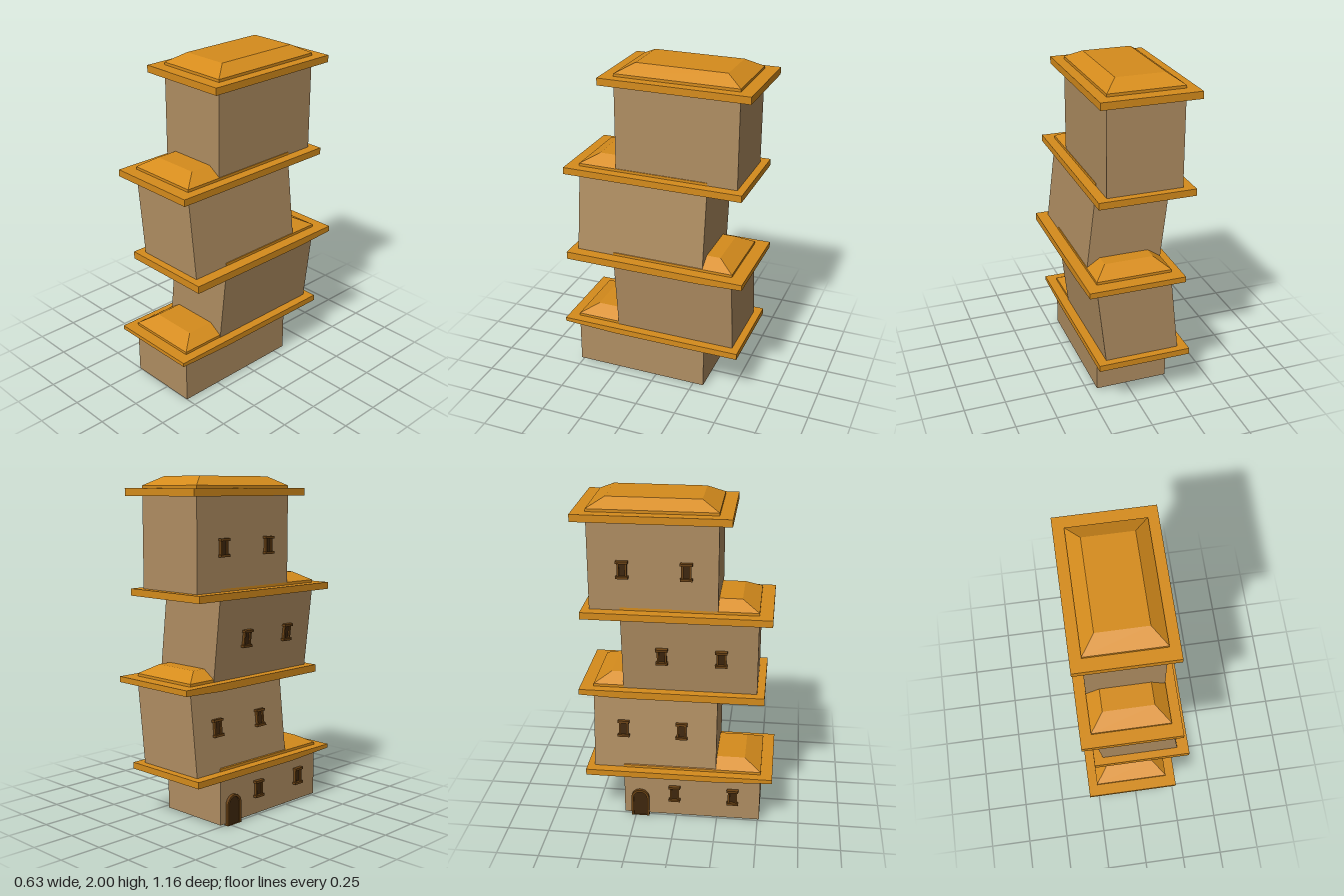
import * as THREE from 'three';

const mat = (color) => new THREE.MeshStandardMaterial({ color, flatShading: true });
const wallMat = mat(0xb08e62);
const roofMat = mat(0xd68c1c);
const frameMat = mat(0x6a4214);
const darkMat = mat(0x3f270d);

function add(parent, name, geometry, material, x = 0, y = 0, z = 0) {
  const mesh = new THREE.Mesh(geometry, material);
  mesh.name = name;
  mesh.position.set(x, y, z);
  parent.add(mesh);
  return mesh;
}

// Box whose bottom and top rectangles [x0, x1, z0, z1] may differ
function taperedBox(bottom, y0, top, y1) {
  const g = new THREE.BoxGeometry(1, 1, 1);
  const p = g.attributes.position;
  for (let i = 0; i < p.count; i++) {
    const up = p.getY(i) > 0;
    const r = up ? top : bottom;
    p.setXYZ(i, p.getX(i) > 0 ? r[1] : r[0], up ? y1 : y0, p.getZ(i) > 0 ? r[3] : r[2]);
  }
  g.computeVertexNormals();
  return g;
}

// Shape drawn in (z, y), extruded along x from x0 to x1
function extrudeX(shape, x0, x1, curveSegments = 8) {
  const g = new THREE.ExtrudeGeometry(shape, { depth: x1 - x0, bevelEnabled: false, curveSegments });
  return g.rotateY(-Math.PI / 2).translate(x1, 0, 0);
}

// Arched outline standing on y = 0
function archShape(halfWidth, height, Type = THREE.Shape) {
  const s = new Type();
  s.moveTo(-halfWidth, 0);
  s.lineTo(halfWidth, 0);
  s.lineTo(halfWidth, height - halfWidth);
  s.absarc(0, height - halfWidth, halfWidth, 0, Math.PI, false);
  s.lineTo(-halfWidth, 0);
  return s;
}

// Small framed window, projecting towards -x
function makeWindow() {
  const w = new THREE.Group();
  w.name = 'window';
  add(w, 'pane', new THREE.BoxGeometry(0.02, 0.09, 0.04), darkMat, 0.002);
  for (const s of [-1, 1]) {
    add(w, 'jamb', new THREE.BoxGeometry(0.03, 0.08, 0.012), frameMat, -0.002, 0, s * 0.022);
    add(w, s > 0 ? 'lintel' : 'sill', new THREE.BoxGeometry(0.04, 0.014, 0.07), frameMat, -0.005, s * 0.044, 0);
  }
  return w;
}

// Storeys: wall x ranges at bottom and top, slab rectangle, windows,
// and slab underside points where the overhang thins out
const storeys = [
  { y: [0.015, 0.3], xb: [-0.255, 0.192], xt: [-0.255, 0.192], z: [-0.32, 0.51],
    slab: { x: [-0.31, 0.25], y: 0.335, under: [[-0.545, 0.297], [0.24, 0.297], [0.58, 0.311]] },
    windowY: 0.17, windows: [-0.01, 0.345] },
  { y: [0.33, 0.81], xb: [-0.252, 0.195], xt: [-0.2, 0.25], z: [-0.5, 0.24],
    slab: { x: [-0.255, 0.317], y: 0.848, under: [[-0.58, 0.814], [-0.32, 0.803], [0.515, 0.803]] },
    windowY: 0.59, windows: [-0.32, 0.03] },
  { y: [0.84, 1.33], xb: [-0.2, 0.25], xt: [-0.255, 0.192], z: [-0.32, 0.47],
    slab: { x: [-0.318, 0.25], y: 1.365, under: [[-0.54, 1.324], [0.547, 1.324]] },
    windowY: 1.08, windows: [-0.085, 0.26] },
  { y: [1.36, 1.9], xb: [-0.255, 0.19], xt: [-0.255, 0.19], z: [-0.496, 0.238],
    slab: { x: [-0.318, 0.25], y: 1.932, under: [[-0.573, 1.89], [0.313, 1.89]] },
    windowY: 1.61, windows: [-0.3, 0.06] },
];

export function createModel() {
  const tower = new THREE.Group();
  tower.name = 'tower';

  storeys.forEach((s) => {
    const storey = new THREE.Group();
    storey.name = 'storey';
    tower.add(storey);
    const [y0, y1] = s.y;

    // Leaning walls
    add(storey, 'walls', taperedBox([...s.xb, ...s.z], y0, [...s.xt, ...s.z], y1), wallMat);

    // Overhanging eaves slab
    const under = s.slab.under;
    const top = s.slab.y;
    const profile = new THREE.Shape([...under, [under.at(-1)[0], top], [under[0][0], top]]
      .map(([z, y]) => new THREE.Vector2(z, y)));
    add(storey, 'eaves', extrudeX(profile, ...s.slab.x), roofMat);

    // Hipped roof on a low plinth
    const base = [...s.xt, ...s.z];
    const crown = [base[0] + 0.077, base[1] - 0.08, base[2] + 0.097, base[3] - 0.1];
    add(storey, 'roofPlinth', taperedBox(base, top - 0.005, base, top + 0.016), roofMat);
    add(storey, 'roof', taperedBox(base, top + 0.016, crown, top + 0.068), roofMat);

    // Windows follow the lean of the wall
    const lean = (s.xt[0] - s.xb[0]) / (y1 - y0);
    for (const z of s.windows) {
      const w = makeWindow();
      w.position.set(s.xb[0] + lean * (s.windowY - y0), s.windowY, z);
      w.rotation.z = -Math.atan(lean);
      storey.add(w);
    }
  });

  // Arched door
  const door = new THREE.Group();
  door.name = 'door';
  door.position.set(-0.255, 0.003, -0.222);
  const frame = archShape(0.055, 0.18);
  frame.holes.push(archShape(0.041, 0.166, THREE.Path));
  add(door, 'doorFrame', extrudeX(frame, -0.018, 0.01), frameMat);
  add(door, 'doorPanel', extrudeX(archShape(0.043, 0.168), -0.008, 0.01), darkMat);
  tower.add(door);

  return tower;
}
